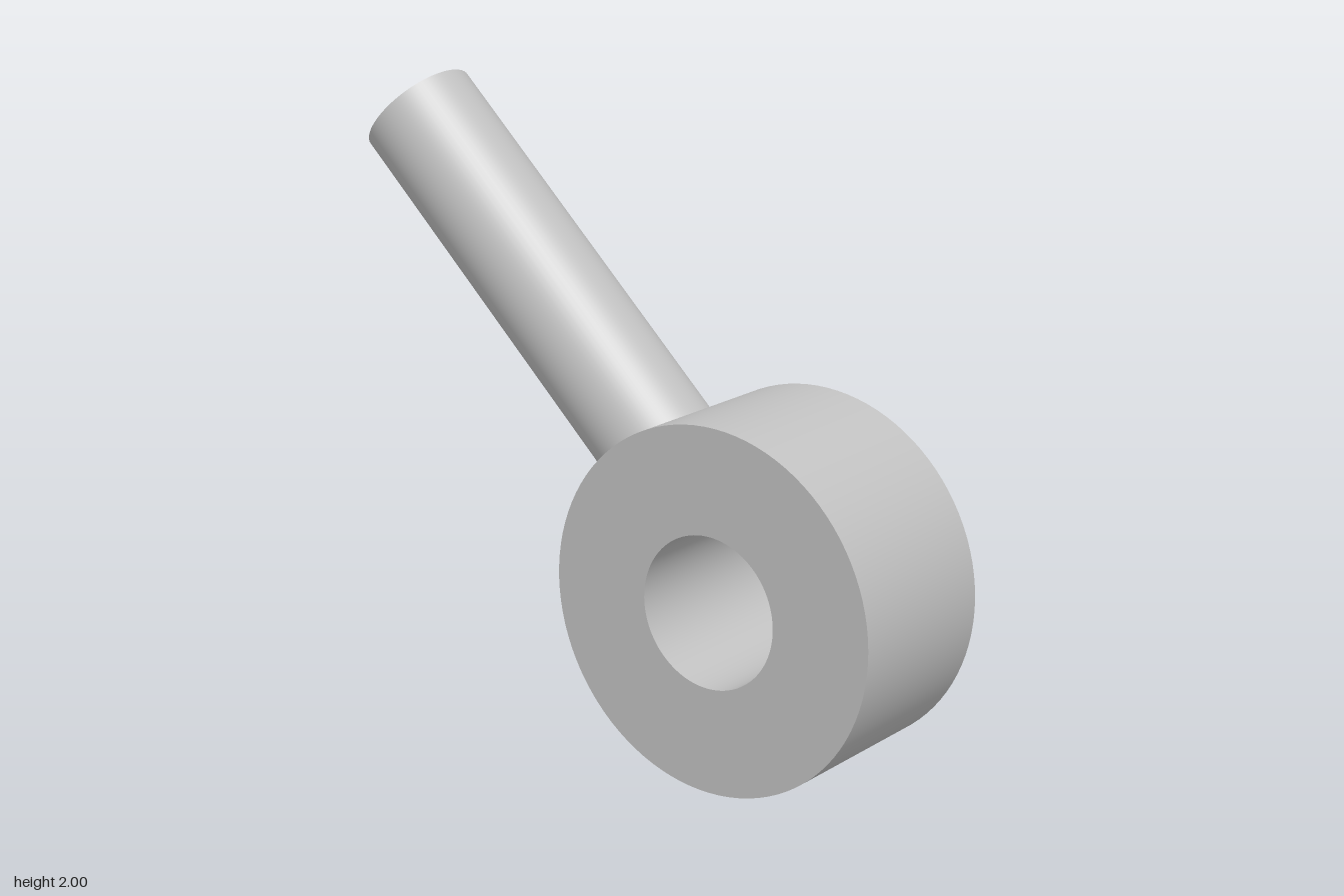
import * as THREE from 'three';
import { toCreasedNormals } from 'three/addons/utils/BufferGeometryUtils.js';

export function createModel() {
  const grey = new THREE.MeshStandardMaterial({ color: 0xc0c0c0 });
  grey.name = 'plain grey';

  const outer = 0.555, bore = 0.231, half = 0.275;
  const rodRadius = 0.184, rodStart = 0.42, rodEnd = 1.847;

  // Eye: a thick ring with a through bore, its axis along x
  const profile = [[bore, -half], [outer, -half], [outer, half], [bore, half], [bore, -half]]
    .map(([x, y]) => new THREE.Vector2(x, y));
  const eyeGeometry = toCreasedNormals(new THREE.LatheGeometry(profile, 96), Math.PI / 6);
  eyeGeometry.rotateZ(-Math.PI / 2);
  const eye = new THREE.Mesh(eyeGeometry, grey);
  eye.name = 'eyeRing';

  // Shank: a round rod leaving the ring radially, rooted inside its wall
  const shank = new THREE.Mesh(
    new THREE.CylinderGeometry(rodRadius, rodRadius, rodEnd - rodStart, 64), grey);
  shank.position.y = (rodStart + rodEnd) / 2;
  shank.name = 'shank';

  // The bolt leans back 45 degrees and slightly to one side
  const bolt = new THREE.Group();
  bolt.name = 'eyeBolt';
  bolt.add(eye, shank);
  bolt.rotation.set(-Math.PI / 4, 0, 0.042);
  bolt.position.set(0, 0.563, 0.437);

  const model = new THREE.Group();
  model.name = 'model';
  model.add(bolt);
  return model;
}
